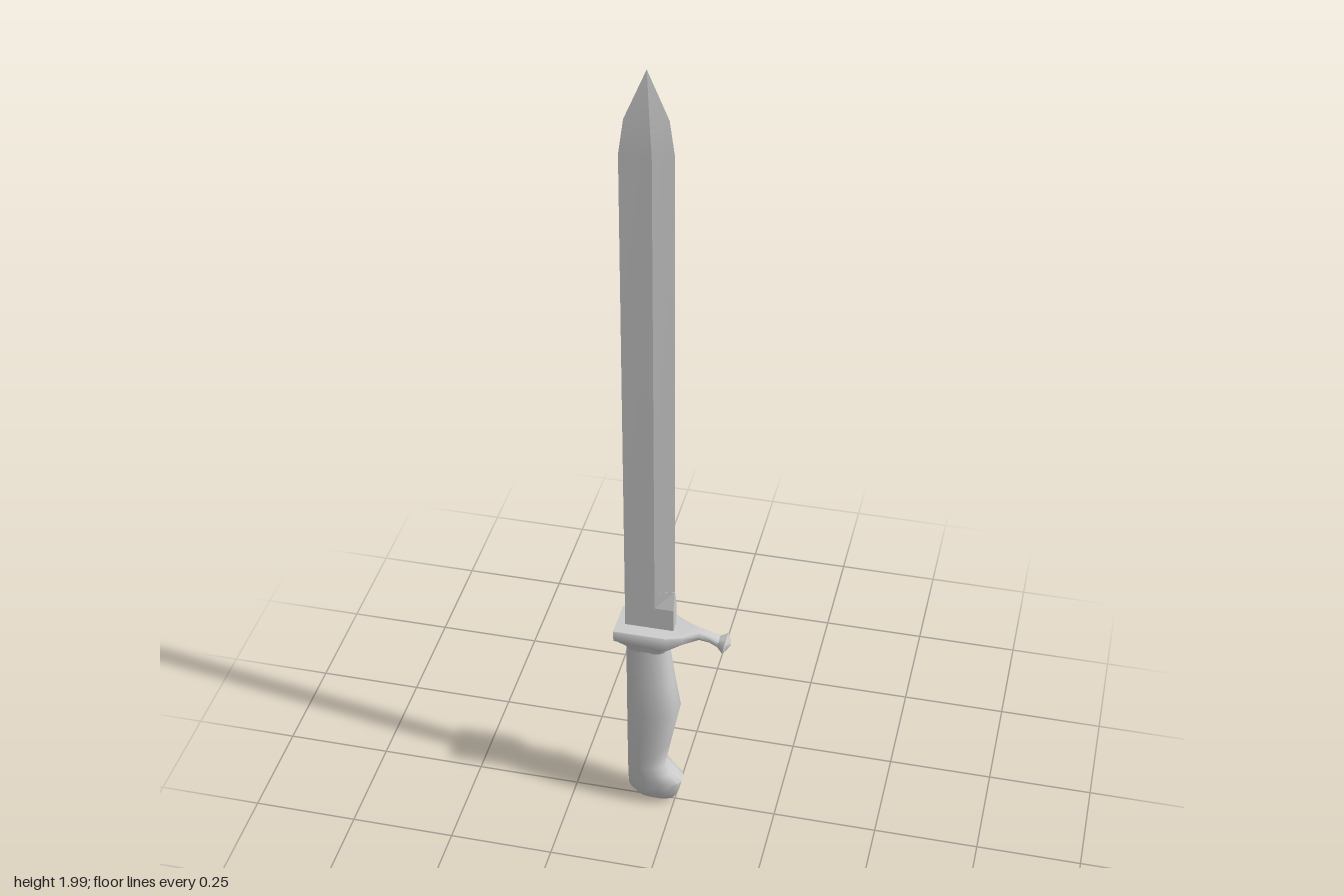
import * as THREE from 'three';
import { toCreasedNormals } from 'three/addons/utils/BufferGeometryUtils.js';

const material = new THREE.MeshStandardMaterial({ color: 0xcccccc });

// Skin a list of rings (each counterclockwise seen from the far end) and cap both ends.
function loft(rings, crease) {
  const n = rings[0].length, index = [], last = (rings.length - 1) * n;
  for (let i = 0; i < rings.length - 1; i++) {
    for (let j = 0; j < n; j++) {
      const a = i * n + j, b = i * n + (j + 1) % n;
      index.push(a, b, b + n, a, b + n, a + n);
    }
  }
  for (let j = 1; j < n - 1; j++) {
    index.push(0, j + 1, j, last, last + j, last + j + 1);
  }
  const geometry = new THREE.BufferGeometry();
  geometry.setAttribute('position', new THREE.Float32BufferAttribute(rings.flat(2), 3));
  geometry.setIndex(index);
  return toCreasedNormals(geometry, crease);
}

// Rounded outline; power 1 is an ellipse, near 0 a rectangle.
function outline(power, count = 16) {
  const bend = (v) => Math.sign(v) * Math.pow(Math.abs(v) < 1e-6 ? 0 : Math.abs(v), power);
  return Array.from({ length: count }, (_, j) => {
    const t = ((j + 0.5) / count) * Math.PI * 2;
    return [bend(Math.cos(t)), bend(Math.sin(t))];
  });
}

// Ring lying flat at height y, from x0 to x1, half depth hz.
const flatRing = (y, x0, x1, hz, power) => outline(power).map(([u, v]) =>
  [(x0 + x1) / 2 + u * (x1 - x0) / 2, y, -v * hz]);

// Ring standing at x, from y0 to y1, half depth hz.
const uprightRing = (x, y0, y1, hz, power) => outline(power).map(([u, v]) =>
  [x, (y0 + y1) / 2 + u * (y1 - y0) / 2, v * hz]);

// Single-edged section: flat spine at x0, bevel from xm to the cutting edge at x1.
const bladeRing = (y, x0, xm, x1, hz) => [
  [x0, y, hz], [xm, y, hz], [x1, y, 0], [xm, y, -hz], [x0, y, -hz],
];

export function createModel() {
  const model = new THREE.Group();
  const add = (name, geometry) => {
    const mesh = new THREE.Mesh(geometry, material);
    mesh.name = name;
    model.add(mesh);
    return mesh;
  };

  // Blade with a spear tip
  add('blade', loft([
    bladeRing(0.54, -0.116, -0.045, 0, 0.016),
    bladeRing(1.81, -0.116, -0.045, 0, 0.016),
    bladeRing(1.89, -0.105, -0.05, -0.011, 0.013),
    bladeRing(2.0, -0.058, -0.058, -0.058, 0),
  ], 0.1));

  // Unsharpened block at the foot of the cutting edge
  const block = (y, x1, hz) => [[-0.045, y, 0.016], [x1, y, hz], [x1, y, -hz], [-0.045, y, -0.016]];
  add('ricasso', loft([block(0.54, 0, 0.016), block(0.62, 0, 0.016), block(0.665, 0, 0.001)], 0.3));

  // Crossguard: square body narrowing into a hooked arm
  add('crossguard', loft([
    uprightRing(-0.137, 0.53, 0.56, 0.049, 0.1),
    uprightRing(-0.01, 0.522, 0.56, 0.049, 0.1),
    uprightRing(0.025, 0.532, 0.559, 0.032, 0.4),
    uprightRing(0.06, 0.537, 0.563, 0.015, 0.8),
    uprightRing(0.085, 0.532, 0.557, 0.014, 1),
    uprightRing(0.108, 0.52, 0.55, 0.016, 1),
  ], 0.7));

  // Flared knob on the arm's end, tilted downwards
  const knobProfile = [[0, 0], [0.014, 0], [0.029, 0.018], [0.016, 0.026], [0, 0.032]]
    .map(([r, h]) => new THREE.Vector2(r, h));
  const knob = add('guardKnob', toCreasedNormals(new THREE.LatheGeometry(knobProfile, 12), 0.6));
  knob.position.set(0.103, 0.536, 0);
  knob.rotation.z = -Math.PI / 2 - 0.2;
  knob.scale.x = 0.8;

  // Collar joining the guard to the grip
  add('collar', loft([
    flatRing(0.49, -0.115, -0.015, 0.035, 0.8),
    flatRing(0.505, -0.117, -0.012, 0.037, 0.6),
    flatRing(0.532, -0.137, -0.003, 0.049, 0.1),
  ], 0.7));

  // Grip with a swelling belly and a beaked pommel: [y, x0, x1, half depth]
  const gripSections = [
    [0.008, -0.07, -0.05, 0.006], [0.02, -0.092, 0.0, 0.022], [0.05, -0.115, 0.013, 0.036],
    [0.08, -0.116, 0.021, 0.039], [0.105, -0.116, -0.002, 0.041], [0.13, -0.116, -0.022, 0.042],
    [0.2, -0.116, -0.009, 0.045], [0.31, -0.116, 0.013, 0.048], [0.4, -0.116, -0.001, 0.045],
    [0.5, -0.116, -0.014, 0.036],
  ];
  add('grip', loft(gripSections.map(([y, x0, x1, hz]) => flatRing(y, x0, x1, hz, 0.8)), 0.9));

  return model;
}
